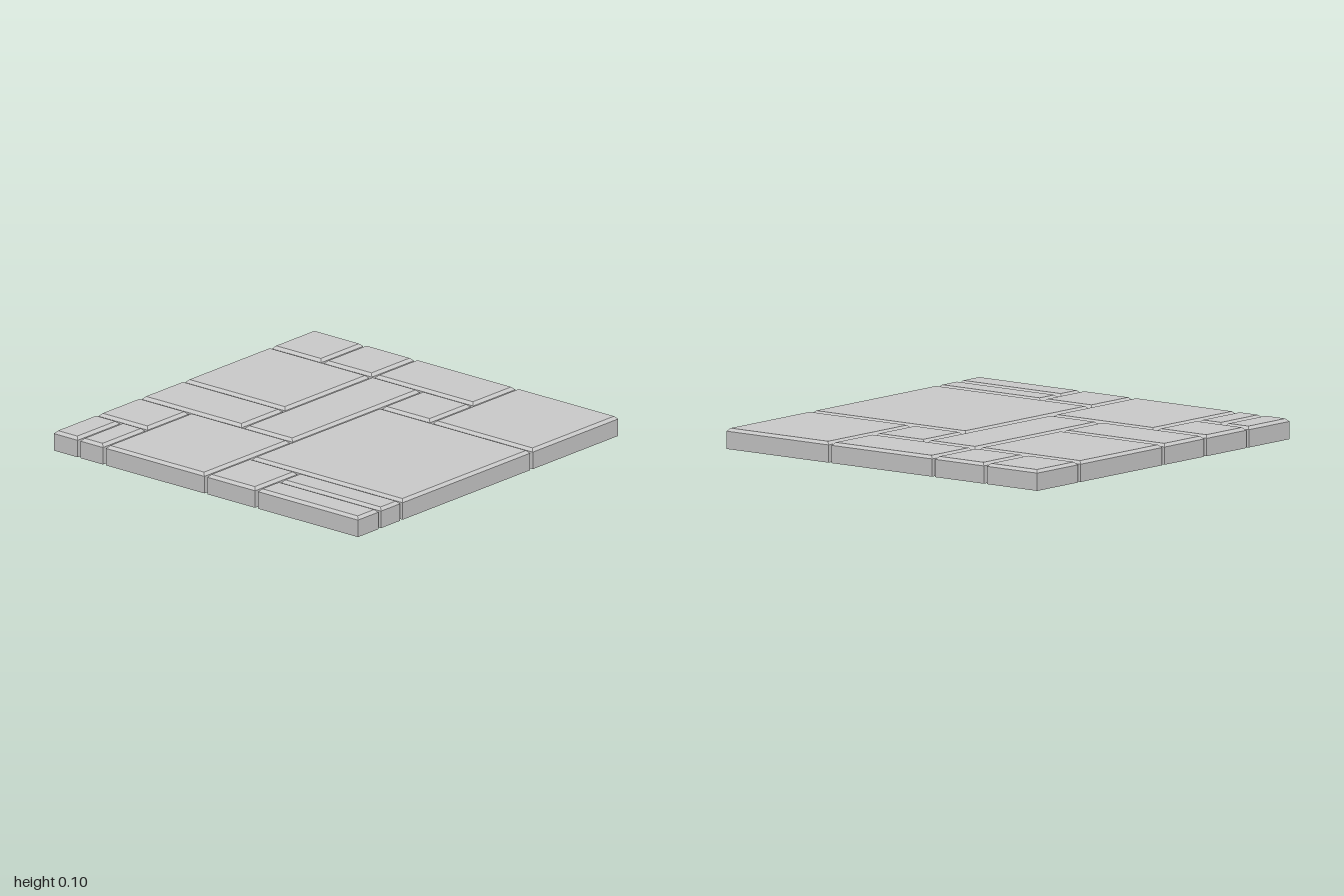
import * as THREE from 'three';

const CELL = 1 / 6;      // layout unit
const HALF_GAP = 0.01;   // half of the joint between neighbouring slabs
const HEIGHT = 0.105;
const BEVEL = 0.015;

// Slab footprints in layout units: [x0, x1, z0, z1]
const LAYOUT = [
  [-6, -4, -6, -5], [-6, -4, -5, -4], [-4, -2, -6, -4], [-6, -2, -4, 0],
  [-2, 0, -6, -2], [0, 4, -6, -2], [4, 6, -6, -4], [4, 6, -4, -2],
  [-2, 4, -2, 0], [4, 6, -2, 2], [-6, -4, 0, 2], [-6, -5, 2, 6],
  [-5, -4, 2, 6], [-4, 2, 0, 6], [2, 4, 0, 2], [2, 6, 2, 6],
];

// Hollow slab: upright walls, bevelled rim and flat top, open underneath
function slabGeometry(w, d) {
  const ring = (y, inset) => {
    const x = w / 2 - inset, z = d / 2 - inset;
    return [[-x, y, z], [x, y, z], [x, y, -z], [-x, y, -z]];
  };
  const rings = [ring(0, 0), ring(HEIGHT - BEVEL, 0), ring(HEIGHT, BEVEL)];
  const positions = [];
  const quad = (a, b, c, e) => positions.push(...a, ...b, ...c, ...a, ...c, ...e);
  for (let r = 0; r < 2; r++) {
    for (let i = 0; i < 4; i++) {
      const j = (i + 1) % 4;
      quad(rings[r][i], rings[r][j], rings[r + 1][j], rings[r + 1][i]);
    }
  }
  quad(...rings[2]);
  const geometry = new THREE.BufferGeometry();
  geometry.setAttribute('position', new THREE.Float32BufferAttribute(positions, 3));
  geometry.computeVertexNormals();
  return geometry;
}

export function createModel() {
  const group = new THREE.Group();
  group.name = 'pavingSlabs';
  const stone = new THREE.MeshStandardMaterial({
    color: 0xcccccc, flatShading: true, side: THREE.DoubleSide,
  });
  // Joints are left between slabs, but the outer border stays flush
  const edge = (v, sign) => v * CELL + (Math.abs(v) === 6 ? 0 : sign * HALF_GAP);

  LAYOUT.forEach(([a, b, c, d], i) => {
    const x0 = edge(a, 1), x1 = edge(b, -1);
    const z0 = edge(c, 1), z1 = edge(d, -1);
    const slab = new THREE.Mesh(slabGeometry(x1 - x0, z1 - z0), stone);
    slab.name = `slab${i + 1}`;
    slab.position.set((x0 + x1) / 2, 0, (z0 + z1) / 2);
    group.add(slab);
  });
  return group;
}
